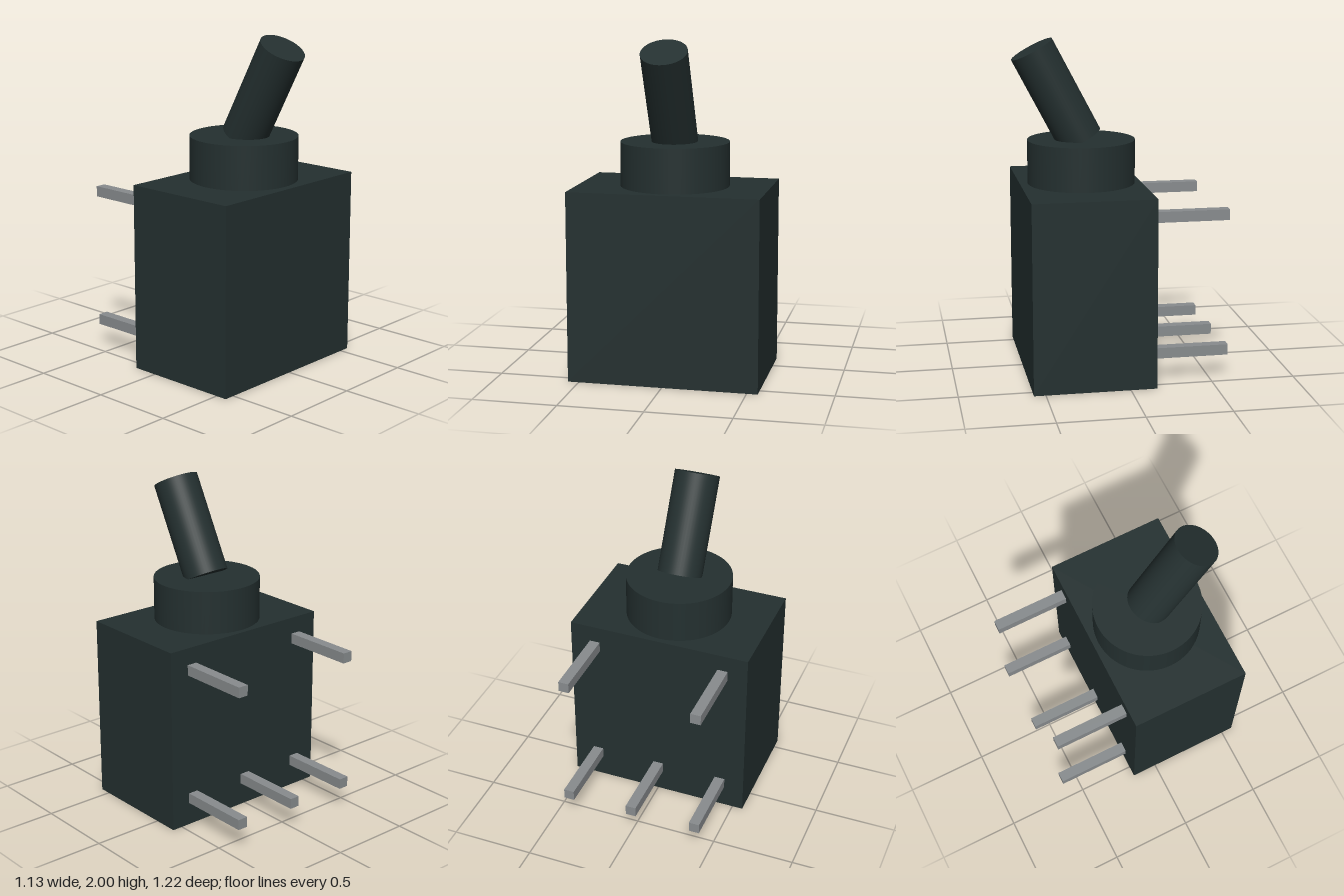
import * as THREE from 'three';

export function createModel() {
  const group = new THREE.Group();
  const casing = new THREE.MeshStandardMaterial({ color: 0x243030 });
  casing.name = 'dark casing';
  const metal = new THREE.MeshStandardMaterial({ color: 0x888c8e });
  metal.name = 'grey metal';

  const add = (name, geometry, material, x, y, z) => {
    const mesh = new THREE.Mesh(geometry, material);
    mesh.name = name;
    mesh.position.set(x, y, z);
    group.add(mesh);
    return mesh;
  };

  // Switch housing and round collar
  add('housing', new THREE.BoxGeometry(1.13, 1.132, 0.726), casing, 0, 0.566, 0.207);
  add('collar', new THREE.CylinderGeometry(0.322, 0.322, 0.263, 64), casing, 0, 1.2635, 0.2);

  // Toggle lever, tilted forward from the top of the collar
  const tilt = 0.484, length = 0.61;
  add('lever', new THREE.CylinderGeometry(0.136, 0.136, length, 48), casing,
    0, 1.397 + Math.cos(tilt) * length / 2, 0.207 + Math.sin(tilt) * length / 2).rotation.x = tilt;

  // Contact pins at the back: two above, three below
  const pin = new THREE.BoxGeometry(0.064, 0.064, 0.454);
  for (const [x, y] of [[-0.41, 0.997], [0.41, 0.997], [-0.41, 0.173], [0, 0.173], [0.41, 0.173]]) {
    add('pin', pin, metal, x, y, -0.382);
  }
  return group;
}
